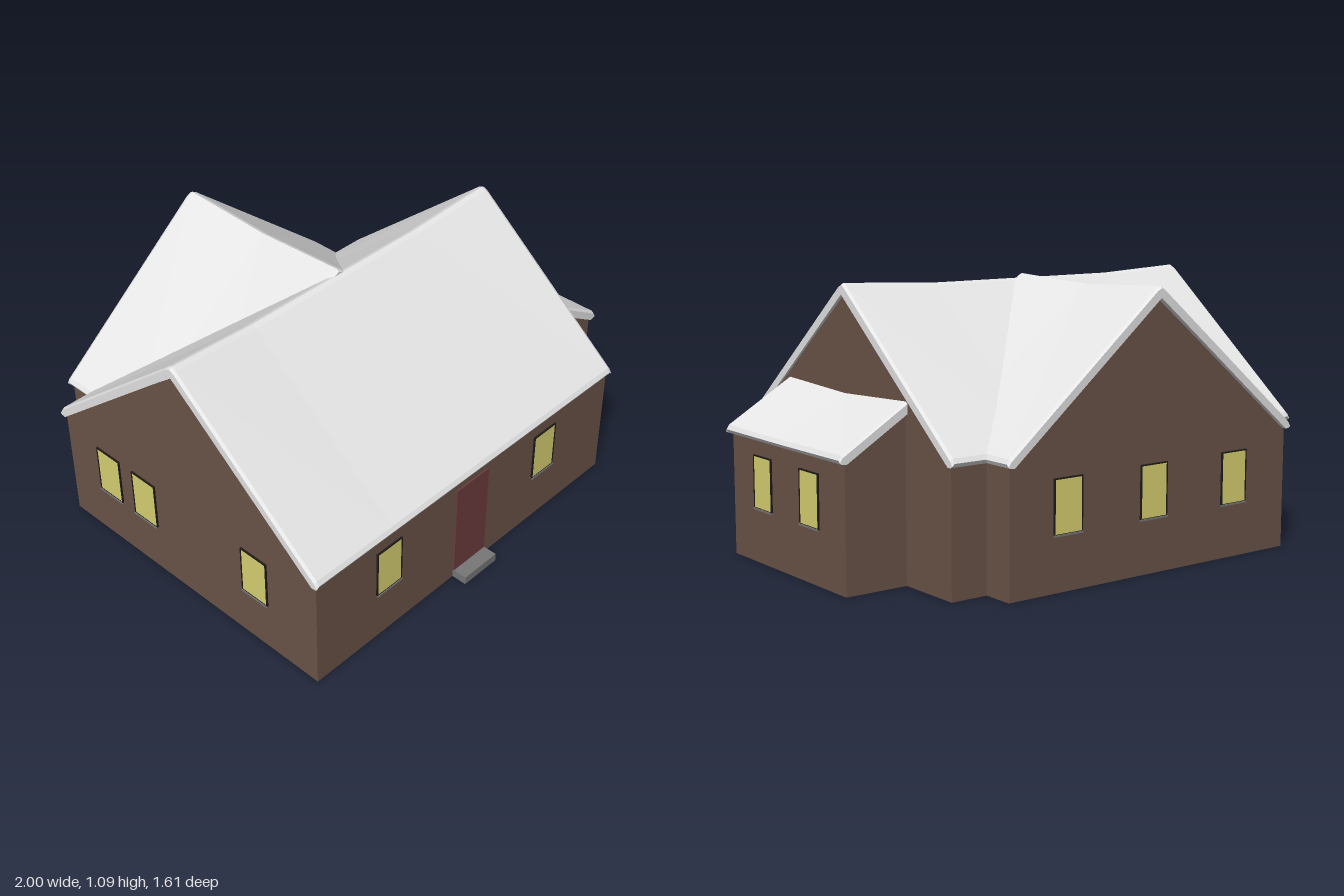
import * as THREE from 'three';

const mat = (name, color, side = THREE.FrontSide) => {
  const m = new THREE.MeshStandardMaterial({ color, side });
  m.name = name;
  return m;
};

export function createModel() {
  const brick = mat('brown wall', 0x6b5449, THREE.DoubleSide);
  const roofing = mat('pale roof', 0xe6e6e6, THREE.DoubleSide);
  const glass = mat('yellow glass', 0xdad272);
  const doorRed = mat('dark red door', 0x6e3c3d);
  const stone = mat('grey stone', 0x777777);
  const dark = mat('dark frame', 0x1e1a18);

  const house = new THREE.Group();
  house.name = 'house';

  const add = (name, geo, material, x = 0, y = 0, z = 0, parent = house) => {
    const m = new THREE.Mesh(geo, material);
    m.name = name;
    m.position.set(x, y, z);
    parent.add(m);
    return m;
  };

  const fromPositions = (pos) => {
    const g = new THREE.BufferGeometry();
    g.setAttribute('position', new THREE.Float32BufferAttribute(pos, 3));
    g.computeVertexNormals();
    return g;
  };

  // Hollow walls: a gable outline at each end, joined by the two side walls; open above and below
  function walls(name, outline, t0, t1) {
    const pos = [];
    const at = (i, t) => [outline[i][0], outline[i][1], t];
    const n = outline.length;
    for (let i = 1; i < n - 1; i++) {
      pos.push(...at(0, t1), ...at(i, t1), ...at(i + 1, t1));
      pos.push(...at(0, t0), ...at(i + 1, t0), ...at(i, t0));
    }
    for (const [a, b] of [[1, 2], [n - 1, 0]]) {
      pos.push(...at(a, t0), ...at(b, t0), ...at(b, t1));
      pos.push(...at(a, t0), ...at(b, t1), ...at(a, t1));
    }
    return add(name, fromPositions(pos), brick);
  }

  // Roof slab: profile [u, y, outer] swept along t, with the ridge sagging and the ends bevelled
  function roof(name, profile, stations) {
    const ys = profile.map((p) => p[1]);
    const low = Math.min(...ys), high = Math.max(...ys);
    const rows = stations.map(([t, sag], k) => {
      const end = k === 0 || k === stations.length - 1;
      return profile.map(([u, y, outer]) => [
        u, y - sag * (y - low) / (high - low) - (end && outer ? 0.01 : 0), t]);
    });
    const pos = [], n = profile.length;
    for (let k = 0; k < rows.length - 1; k++) {
      for (let i = 0; i < n; i++) {
        const j = (i + 1) % n;
        const a = rows[k][i], b = rows[k][j], c = rows[k + 1][j], d = rows[k + 1][i];
        pos.push(...a, ...b, ...c, ...a, ...c, ...d);
      }
    }
    const first = rows[0], last = rows[rows.length - 1];
    const contour = last.map((p) => new THREE.Vector2(p[0], p[1]));
    for (const [a, b, c] of THREE.ShapeUtils.triangulateShape(contour, [])) {
      pos.push(...last[a], ...last[b], ...last[c], ...first[a], ...first[c], ...first[b]);
    }
    return add(name, fromPositions(pos), roofing);
  }

  // Shared gable outline and roof profile for the main house and the rear wing
  const gable = (w) => [[-w, 0], [w, 0], [w, 0.49], [0, 1.045], [-w, 0.49]];
  const slope = [[0.69, 0.488, 0], [0.708, 0.49, 0], [0.716, 0.505, 1], [0.705, 0.523, 1], [0.02, 1.086, 1]];
  const gableRoof = [
    ...slope, [0, 1.096, 1],
    ...slope.map(([u, y, o]) => [-u, y, o]).reverse(), [0, 1.05, 0],
  ];

  // Main house, running along x
  for (const part of [
    walls('mainWalls', gable(0.697), -0.985, 0.71),
    roof('mainRoof', gableRoof, [[-1, 0], [-0.988, 0.002], [-0.6, 0.021], [0.3, 0.021], [0.708, 0.002], [0.72, 0]]),
  ]) {
    part.rotation.y = Math.PI / 2;
    part.position.z = 0.038;
  }

  // Rear wing, running along z
  walls('rearWingWalls', gable(0.7), -0.79, 0.035).position.x = -0.145;
  roof('rearWingRoof', gableRoof,
    [[-0.81, 0], [-0.798, 0.002], [-0.38, 0.021], [0.028, 0.002], [0.04, 0]]).position.x = -0.145;

  // Lean-to on the left side
  walls('leanToWalls', [[0, 0], [0.262, 0], [0.262, 0.49], [0, 0.65]], -0.375, 0.45).position.x = 0.71;
  roof('leanToRoof',
    [[0, 0.645, 0], [0.262, 0.488, 0], [0.28, 0.49, 0], [0.29, 0.505, 1], [0.28, 0.523, 1], [0, 0.692, 1]],
    [[-0.39, 0], [-0.38, 0.002], [0.035, 0.02], [0.45, 0.002], [0.46, 0]]).position.x = 0.71;

  // Windows: pane, thin surround and sill
  const W = 0.135, H = 0.212;
  const surround = new THREE.Shape()
    .moveTo(-W / 2, -H / 2).lineTo(W / 2, -H / 2).lineTo(W / 2, H / 2).lineTo(-W / 2, H / 2).closePath();
  const e = 0.005, iw = W / 2 - e, ih = H / 2 - e;
  surround.holes.push(new THREE.Path()
    .moveTo(-iw, -ih).lineTo(-iw, ih).lineTo(iw, ih).lineTo(iw, -ih).closePath());
  const surroundGeo = new THREE.ExtrudeGeometry(surround, { depth: 0.007, bevelEnabled: false });
  const paneGeo = new THREE.BoxGeometry(W - e, H - e, 0.005);
  const sillGeo = new THREE.BoxGeometry(W, 0.007, 0.01);

  function windowAt(x, z, angle) {
    const g = new THREE.Group();
    g.name = 'window';
    add('windowPane', paneGeo, glass, 0, 0, 0.0025, g);
    add('windowFrame', surroundGeo, dark, 0, 0, 0, g);
    add('windowSill', sillGeo, stone, 0, -H / 2, 0.005, g);
    g.position.set(x, 0.321, z);
    g.rotation.y = angle;
    house.add(g);
  }
  for (const x of [-0.605, 0.31]) windowAt(x, 0.735, 0);
  for (const z of [0.215, -0.13]) windowAt(0.972, z, Math.PI / 2);
  for (const x of [0.285, -0.135, -0.56]) windowAt(x, -0.79, Math.PI);
  for (const z of [-0.41, -0.2, 0.415]) windowAt(-0.985, z, -Math.PI / 2);

  // Front door and its step
  add('door', new THREE.BoxGeometry(0.185, 0.415, 0.006), doorRed, -0.135, 0.2425, 0.738);
  add('doorStep', new THREE.BoxGeometry(0.185, 0.035, 0.066), stone, -0.135, 0.0175, 0.768);

  return house;
}
